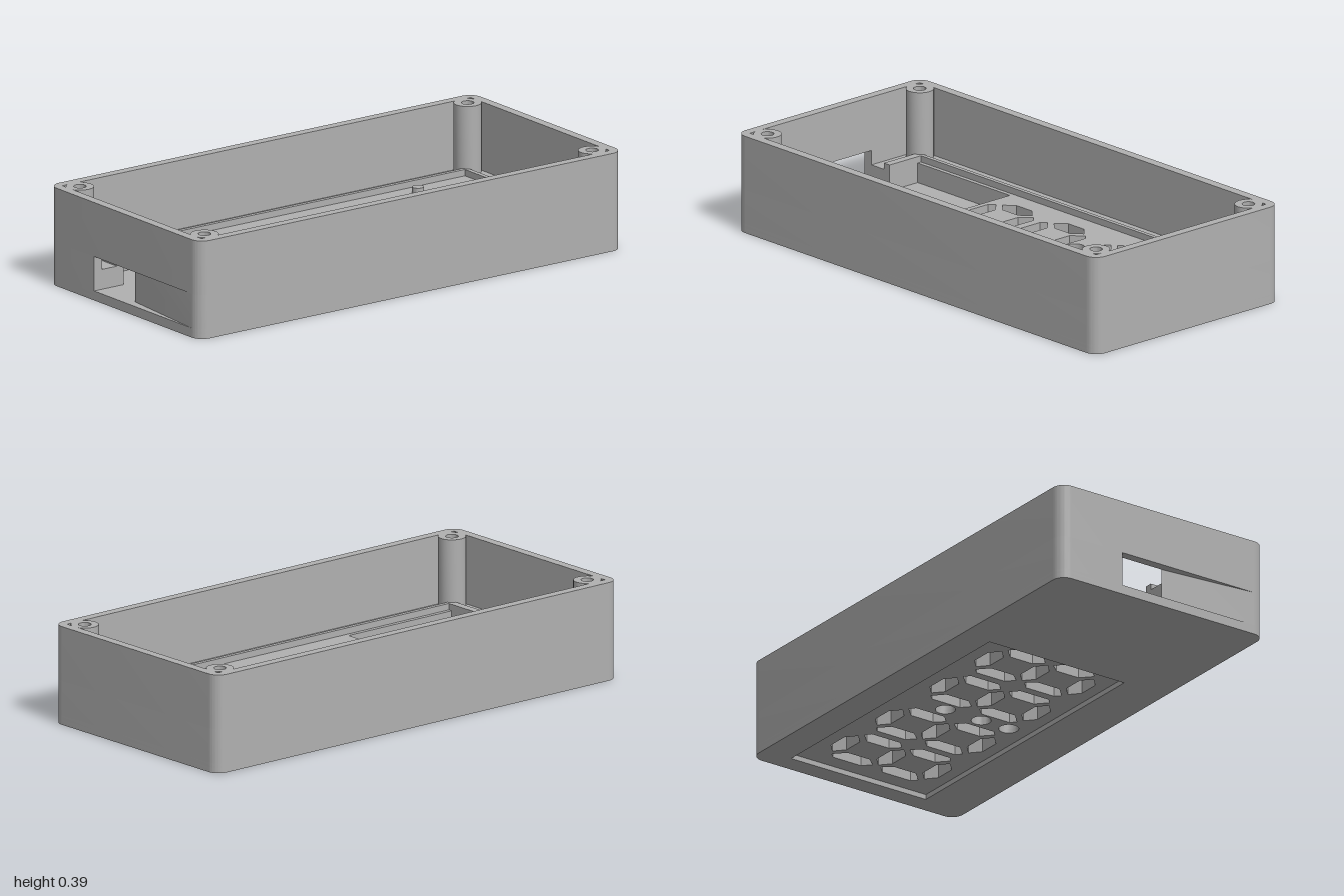
import * as THREE from 'three';
import { toCreasedNormals } from 'three/addons/utils/BufferGeometryUtils.js';

const W = 1, D = 0.473, R = 0.05;             // outer half width, half depth, corner radius
const IW = 0.963, ID = 0.435;                 // inner half sizes
const H = 0.385;                              // rim height
const FACE = 0.02, FLOOR = 0.037, DECK = 0.115, LIP = 0.14, PORT_TOP = 0.172;
const PORT = [-0.187, 0.021];                 // z range of the side port
const POCKET = { x0: -0.861, x1: -0.348, z: 0.33 };

// Shapes are written as (x, z); shape y is -z
const poly = (pts, Type = THREE.Shape) => {
  const s = new Type();
  pts.forEach(([x, z], i) => (i ? s.lineTo(x, -z) : s.moveTo(x, -z)));
  s.closePath();
  return s;
};
const rect = (x0, x1, z0, z1) => poly([[x0, z0], [x1, z0], [x1, z1], [x0, z1]], THREE.Path);
const circle = (x, z, r, Type = THREE.Path) => {
  const s = new Type();
  s.absarc(x, -z, r, 0, Math.PI * 2, false);
  return s;
};

// Rounded outer outline, begun and ended on the -x side
const outline = (zStart, zEnd) => {
  const s = new THREE.Shape(), cx = W - R, cy = D - R, q = Math.PI / 2;
  s.moveTo(-W, -zStart);
  s.absarc(-cx, -cy, R, 2 * q, 3 * q, false);
  s.absarc(cx, -cy, R, 3 * q, 4 * q, false);
  s.absarc(cx, cy, R, 0, q, false);
  s.absarc(-cx, cy, R, q, 2 * q, false);
  s.lineTo(-W, -zEnd);
  return s;
};

// The seven segment openings of one digit
const digit = (cx, cz) => {
  const holes = [];
  for (const dz of [-0.213, 0, 0.213]) {
    holes.push([[-0.083, 0], [-0.043, -0.036], [0.043, -0.036], [0.083, 0], [0.043, 0.036], [-0.043, 0.036]]
      .map(([x, z]) => [cx + x, cz + dz + z]));
  }
  const side = [[0.126, -0.18], [0.105, -0.2], [0.062, -0.158], [0.062, -0.056], [0.094, -0.019], [0.126, -0.05]];
  for (const sx of [-1, 1]) for (const sz of [-1, 1]) {
    holes.push(side.map(([x, z]) => [cx + sx * x, cz + sz * z]));
  }
  return holes.map((p) => poly(p, THREE.Path));
};
const displayHoles = () => [
  ...[-0.2, 0.088, 0.441, 0.727].flatMap((x) => digit(x, -0.019)),
  ...[-0.102, 0.064, 0.192].map((z) => circle(0.262, z, 0.038)),
];

export function createModel() {
  const group = new THREE.Group();
  const grey = new THREE.MeshStandardMaterial({ color: 0xb0b0b0 });
  grey.name = 'plain grey';

  const slab = (name, shape, y0, y1, holes = []) => {
    shape.holes.push(...holes);
    const g = new THREE.ExtrudeGeometry(shape, { depth: y1 - y0, bevelEnabled: false, curveSegments: 12 });
    g.rotateX(-Math.PI / 2);
    g.translate(0, y0, 0);
    const mesh = new THREE.Mesh(toCreasedNormals(g, 0.6), grey);
    mesh.name = name;
    group.add(mesh);
  };

  // Underside with the display recess, then the thin floor with the openings
  slab('undersideFrame', outline(0, 0), 0, FACE, [rect(-0.36, 0.92, -0.345, 0.28)]);
  slab('floor', outline(0, 0), FACE, FLOOR, displayHoles());

  // Thick display block, wrapping round the pocket and port channel
  const { x0, x1, z } = POCKET;
  slab('displayBlock', poly([
    [-IW, PORT[0]], [x0, PORT[0]], [x0, -z], [x1, -z], [x1, z], [x0, z], [x0, PORT[1]], [-IW, PORT[1]],
    [-IW, ID], [IW, ID], [IW, -ID], [-IW, -ID],
  ]), FLOOR, DECK, displayHoles());

  // Low locating lip, broken at the port
  slab('locatingLip', poly([
    [-0.893, PORT[0]], [x0, PORT[0]], [x0, -0.347], [0.869, -0.347], [0.869, 0.347], [x0, 0.347],
    [x0, PORT[1]], [-0.893, PORT[1]], [-0.893, 0.364], [0.888, 0.364], [0.888, -0.364], [-0.893, -0.364],
  ]), DECK, LIP);

  // Walls: lower part open at the port, upper part closed
  const lower = outline(PORT[1], PORT[0]);
  [[-IW, PORT[0]], [-IW, -ID], [IW, -ID], [IW, ID], [-IW, ID], [-IW, PORT[1]]]
    .forEach(([x, zz]) => lower.lineTo(x, -zz));
  lower.closePath();
  slab('lowerWall', lower, FLOOR, PORT_TOP);
  slab('upperWall', outline(0, 0), PORT_TOP, H, [rect(-IW, IW, -ID, ID)]);

  // Corner screw posts
  for (const sx of [-1, 1]) for (const sz of [-1, 1]) {
    const x = sx * 0.914, zz = sz * 0.39;
    slab('screwPost', circle(x, zz, 0.053, THREE.Shape), DECK, H, [circle(x, zz, 0.024)]);
  }

  // Small peg on the display block
  slab('peg', circle(0.593, -0.273, 0.023, THREE.Shape), DECK, LIP);

  return group;
}
